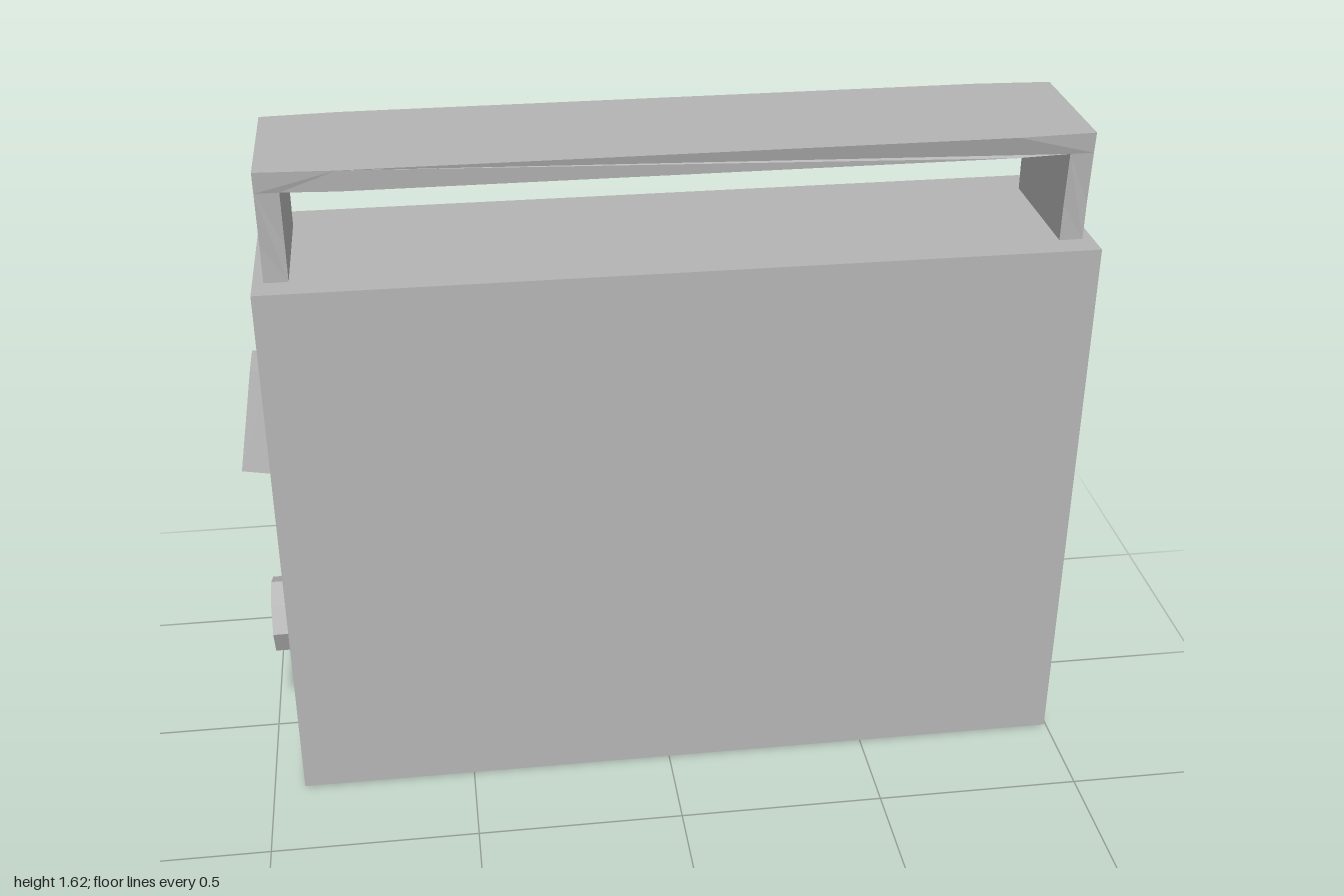
import * as THREE from 'three';

const grey = new THREE.MeshStandardMaterial({ color: 0xb4b4b4 });
grey.name = 'plain grey';

// Flat-shaded solid from convex outlines, corners anticlockwise from outside
function facets(polygons) {
  const pos = [];
  for (const p of polygons)
    for (let i = 1; i < p.length - 1; i++) pos.push(...p[0], ...p[i], ...p[i + 1]);
  const g = new THREE.BufferGeometry();
  g.setAttribute('position', new THREE.Float32BufferAttribute(pos, 3));
  g.computeVertexNormals();
  return g;
}

// Joins two matching rings with quads
function bridge(a, b, skip = -1) {
  const out = [];
  for (let i = 0; i < a.length; i++) {
    const j = (i + 1) % a.length;
    if (i !== skip) out.push([a[i], b[i], b[j], a[j]]);
  }
  return out;
}

export function createModel() {
  const model = new THREE.Group();
  const add = (name, geometry) => {
    const mesh = new THREE.Mesh(geometry, grey);
    mesh.name = name;
    model.add(mesh);
    return mesh;
  };

  // Body: ridged back profile with a bevelled recess in its upper half
  const profile = [[0, 0.265], [0, -0.205], [0.73, -0.265], [1.36, -0.205], [1.36, 0.265]];
  const left = profile.map(([y, z]) => [0.995, y, z]);
  const right = profile.map(([y, z]) => [-0.925, y, z]);
  const outer = [left[2], right[2], right[3], left[3]];
  const inner = [[0.94, 0.785, -0.215], [-0.87, 0.785, -0.215], [-0.87, 1.31, -0.157], [0.94, 1.31, -0.157]];
  const rim = bridge(outer, inner).map(([a, b, c, d]) => [a, d, c, b]);
  add('body', facets([left, [...right].reverse(), ...bridge(left, right, 2), ...rim, inner]));

  // Handle: arch that flares towards the top and is widest along the middle
  const arch = new THREE.Shape([
    [-0.9, 1.36], [-0.845, 1.36], [-0.845, 1.45], [-0.845, 1.575], [-0.72, 1.575], [0.79, 1.575],
    [0.915, 1.575], [0.915, 1.45], [0.915, 1.36], [0.97, 1.36], [0.97, 1.45], [0.97, 1.575],
    [0.97, 1.625], [0.79, 1.625], [-0.72, 1.625], [-0.9, 1.625], [-0.9, 1.575], [-0.9, 1.45],
  ].map(([x, y]) => new THREE.Vector2(x, y)));
  const handle = new THREE.ExtrudeGeometry(arch, { depth: 1, bevelEnabled: false });
  const p = handle.attributes.position;
  for (let i = 0; i < p.count; i++) {
    const x = p.getX(i), t = (p.getY(i) - 1.36) / 0.265;
    const middle = x > -0.8 && x < 0.85;
    const half = 0.16 + 0.014 * t * t + (middle ? 0.01 : 0);
    p.setZ(i, 0.04 + (p.getZ(i) - 0.5) * 2 * half);
  }
  handle.computeVertexNormals();
  add('handle', handle);

  // Octagonal knobs on the back, lying on the sloping lower panel
  const tilt = Math.atan(0.06 / 0.73);
  for (const [name, x, y, r, zOut] of [
    ['largeBackKnob', -0.71, 0.495, 0.135, -0.265],
    ['smallBackKnob', -0.72, 0.185, 0.095, -0.24],
  ]) {
    const g = new THREE.CylinderGeometry(r, r, 0.07, 8).toNonIndexed();
    g.rotateX(-Math.PI / 2);
    g.computeVertexNormals();
    // Shear the inner end only, so the outer face stays upright
    add(name, g).position.set(x, y, zOut + 0.035 + tilt * 0.01);
  }

  // Octagonal knob on the right side
  const sideKnob = new THREE.CylinderGeometry(0.095, 0.095, 0.06, 8).toNonIndexed();
  sideKnob.rotateX(Math.PI / 2);
  sideKnob.rotateY(Math.PI / 2);
  sideKnob.computeVertexNormals();
  add('sideKnob', sideKnob).position.set(-0.945, 0.37, 0.03);

  // Tapered switch on the right side
  const base = [[-0.92, 0.82, -0.09], [-0.92, 0.82, 0.11], [-0.92, 1.075, 0.06], [-0.92, 1.075, -0.045]];
  const face = [[-1.005, 0.835, -0.09], [-1.005, 0.835, 0.11], [-0.965, 1.075, 0.06], [-0.965, 1.075, -0.045]];
  add('sideSwitch', facets([face, [...base].reverse(), ...bridge(face, base)]));

  return model;
}
